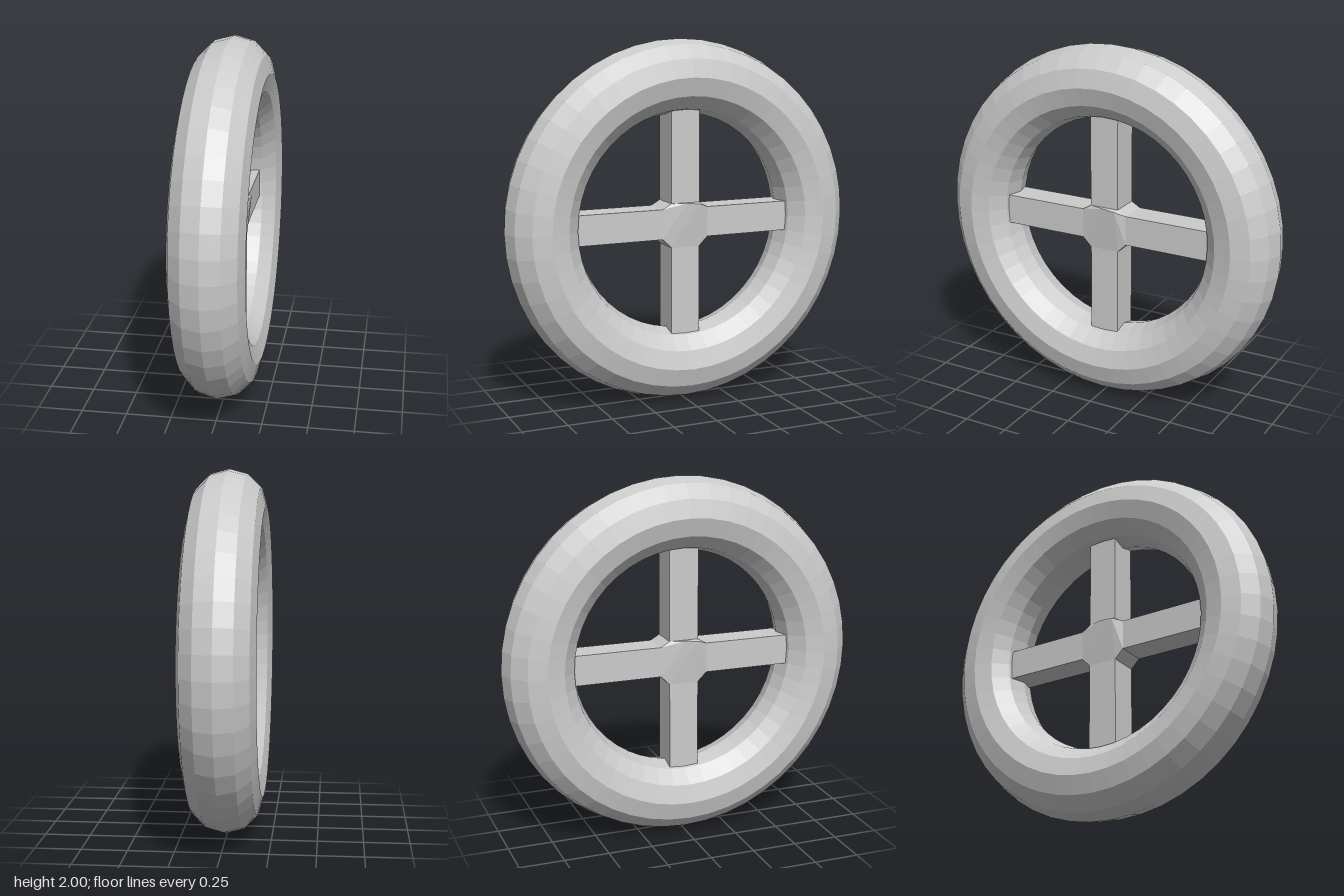
import * as THREE from 'three';
import { ConvexGeometry } from 'three/addons/geometries/ConvexGeometry.js';

export function createModel() {
  const model = new THREE.Group();
  model.name = 'spokedWheel';
  const material = new THREE.MeshStandardMaterial({ color: 0xcccccc, flatShading: true });

  const add = (name, geometry) => {
    const mesh = new THREE.Mesh(geometry, material);
    mesh.name = name;
    mesh.position.y = 1;
    model.add(mesh);
    return mesh;
  };

  // Faceted tyre, axle along x
  add('tyre', new THREE.TorusGeometry(0.8, 0.2, 12, 48).rotateY(Math.PI / 2));

  // Four square spokes, from the centre into the tyre
  const length = 0.7, width = 0.166;
  for (let i = 0; i < 4; i++) {
    const spoke = new THREE.BoxGeometry(width, length, width).translate(0, length / 2, 0);
    add('spoke' + (i + 1), spoke.rotateX(i * Math.PI / 2));
  }

  // Rough-cut hub: chamfered corners between the spokes, a low peak on each face
  const half = width / 2;
  const outline = [[0.133, 0.083], [0.083, 0.112], [0.083, -0.133], [0.133, -0.083]];
  const points = [];
  for (const side of [-1, 1]) {
    for (const [z, y] of outline) {
      points.push(new THREE.Vector3(side * half, y, z), new THREE.Vector3(side * half, y, -z));
    }
    points.push(new THREE.Vector3(side * 0.105, 0.112, 0));
    points.push(new THREE.Vector3(side * 0.11, 0.105, -side * 0.075));
  }
  add('hub', new ConvexGeometry(points));

  return model;
}
